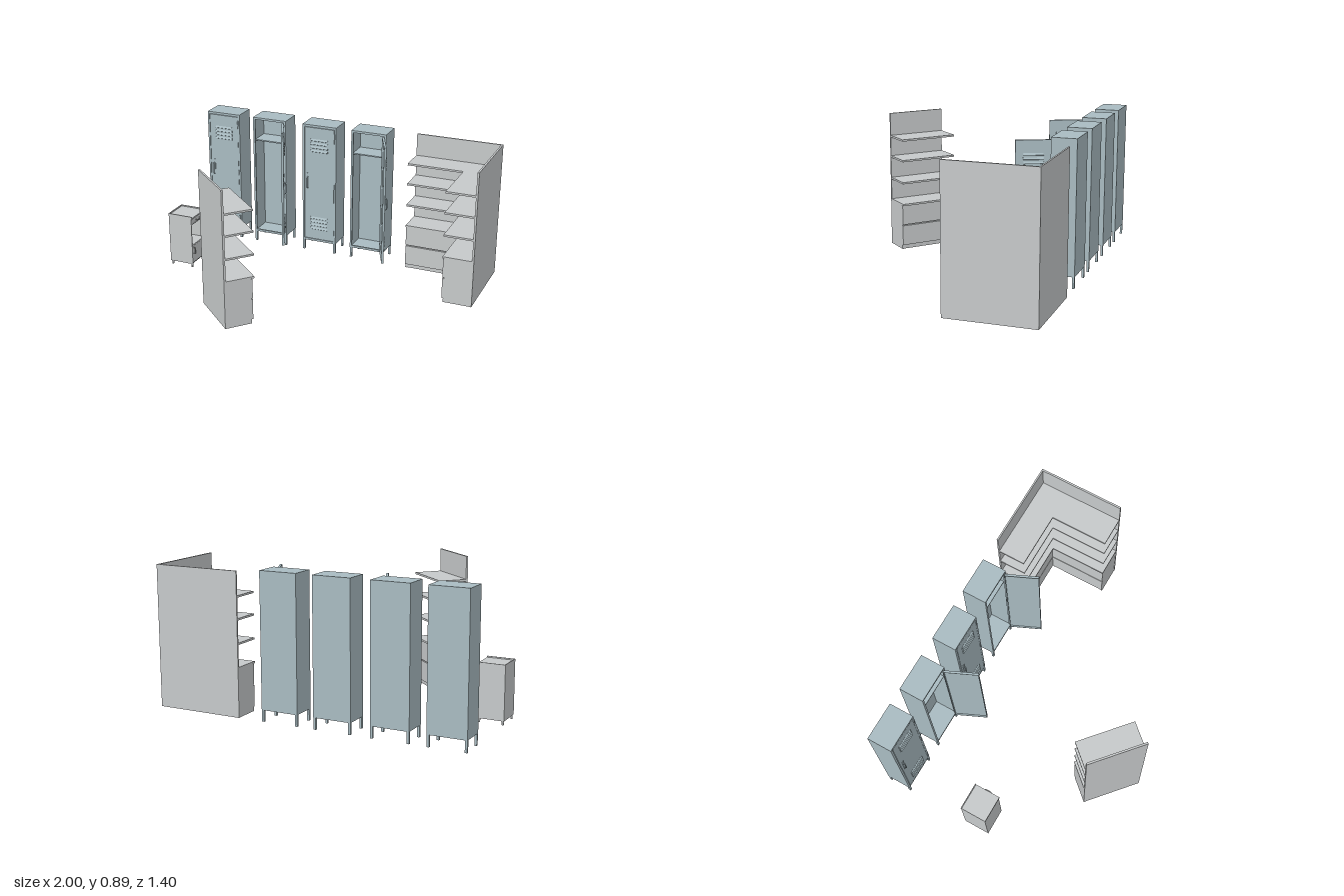
import * as THREE from 'three';

const blue = new THREE.MeshStandardMaterial({ color: 0xa9bbc1 });
blue.name = 'blueGreySteel';
const grey = new THREE.MeshStandardMaterial({ color: 0xc6c9ca });
grey.name = 'lightGrey';

function group(parent, name, x = 0, y = 0, z = 0, ry = 0) {
  const g = new THREE.Group();
  g.name = name;
  g.position.set(x, y, z);
  g.rotation.y = ry;
  parent.add(g);
  return g;
}

function add(parent, name, geometry, mat) {
  const m = new THREE.Mesh(geometry, mat);
  m.name = name;
  parent.add(m);
  return m;
}

// box given by its limits on each axis
function box(parent, name, mat, x0, x1, y0, y1, z0, z1) {
  const m = add(parent, name, new THREE.BoxGeometry(x1 - x0, y1 - y0, z1 - z0), mat);
  m.position.set((x0 + x1) / 2, (y0 + y1) / 2, (z0 + z1) / 2);
  return m;
}

// round bar handle through a few points
function handle(parent, mat, points, r = 0.003) {
  const path = new THREE.CatmullRomCurve3(points.map(p => new THREE.Vector3(...p)), false, 'catmullrom', 0.1);
  return add(parent, 'handle', new THREE.TubeGeometry(path, 16, r, 6), mat);
}

// door: hinge at the local origin, closed door runs towards -x, outside is +z
function lockerDoor(parent, angle) {
  const W = 0.208, y0 = 0.087, y1 = 0.873;
  const d = group(parent, 'door', 0.105, 0, 0.155, angle);
  box(d, 'doorPanel', blue, -W, 0, y0, y1, -0.004, 0);
  // folded rim on the inside
  box(d, 'doorRim', blue, -W, -W + 0.004, y0, y1, -0.014, -0.004);
  box(d, 'doorRim', blue, -0.004, 0, y0, y1, -0.014, -0.004);
  box(d, 'doorRim', blue, -W + 0.004, -0.004, y0, y0 + 0.004, -0.014, -0.004);
  box(d, 'doorRim', blue, -W + 0.004, -0.004, y1 - 0.004, y1, -0.014, -0.004);
  // two banks of louvres
  for (const base of [0.165, 0.715]) {
    for (let i = 0; i < 4; i++) {
      const y = base + i * 0.025;
      const l = box(d, 'louvre', blue, -0.164, -0.044, y - 0.007, y + 0.007, -0.002, 0.002);
      l.rotation.x = -0.6;
      l.position.z = 0.003;
      for (const x of [-0.164, -0.044])
        box(d, 'louvreEnd', blue, x - 0.002, x + 0.002, y - 0.007, y + 0.006, -0.002, 0.006);
    }
  }
  // latch plate and pull
  box(d, 'latchPlate', blue, -0.193, -0.177, 0.425, 0.555, 0, 0.003);
  handle(d, blue, [[-0.185, 0.45, 0.002], [-0.185, 0.455, 0.013], [-0.185, 0.52, 0.013], [-0.185, 0.53, 0.002]], 0.004);
  for (const y of [0.15, 0.48, 0.83]) {
    const h = add(d, 'hinge', new THREE.CylinderGeometry(0.004, 0.004, 0.035, 8), blue);
    h.position.set(0.003, y, 0.003);
  }
}

// locker: centred on x, back at z = 0, front at z = 0.155
function locker(parent, x, open) {
  const g = group(parent, 'locker', x, 0, -0.7);
  const w = 0.119, D = 0.155, t = 0.006;
  box(g, 'lockerBack', blue, -w, w, 0.07, 0.89, 0, t);
  box(g, 'lockerTop', blue, -w, w, 0.89 - t, 0.89, t, D);
  box(g, 'lockerFloor', blue, -w, w, 0.07, 0.07 + t, t, D);
  for (const s of [-1, 1]) {
    const side = s * (w - t / 2);
    box(g, 'lockerSide', blue, side - t / 2, side + t / 2, 0.07 + t, 0.89 - t, t, D);
    // front frame post
    const post = s * 0.1095;
    box(g, 'framePost', blue, post - 0.0035, post + 0.0035, 0.076, 0.884, D - 0.012, D);
    for (const z of [0.008, D - 0.008])
      box(g, 'leg', blue, s * 0.111 - 0.007, s * 0.111 + 0.007, 0, 0.07, z - 0.007, z + 0.007);
  }
  box(g, 'frameTop', blue, -0.106, 0.106, 0.876, 0.884, D - 0.012, D);
  box(g, 'frameBottom', blue, -0.106, 0.106, 0.076, 0.084, D - 0.012, D);
  box(g, 'lockerShelf', blue, -w + t, w - t, 0.723, 0.731, t, D - 0.018);
  lockerDoor(g, open ? THREE.MathUtils.degToRad(114) : 0);
}

const SHELVES = [0.305, 0.45, 0.595, 0.73], BOARD = 0.012, HEIGHT = 0.875;

// base cabinet with two drawers, open underneath, front towards +z
function baseCabinet(parent, x0, x1, z0, z1) {
  const g = group(parent, 'baseCabinet');
  const t = 0.012, f = z1 - 0.01;
  box(g, 'cabinetSide', grey, x0, x0 + t, 0, 0.293, z0, f);
  box(g, 'cabinetSide', grey, x1 - t, x1, 0, 0.293, z0, f);
  box(g, 'cabinetFloor', grey, x0 + t, x1 - t, 0.03, 0.042, z0, f);
  box(g, 'toeKick', grey, x0 + t, x1 - t, 0, 0.03, f - 0.012, f - 0.003);
  box(g, 'cabinetFront', grey, x0 + t, x1 - t, 0.042, 0.293, f - 0.01, f - 0.002);
  for (const [y0, y1] of [[0.028, 0.158], [0.165, 0.29]])
    box(g, 'drawerFront', grey, x0, x1, y0, y1, f, z1);
}

// straight free-standing shelf unit
function shelfUnit(parent) {
  const g = group(parent, 'shelfUnit', -0.388, 0, 0.573, 2.42);
  const h = 0.186, D = 0.19;
  box(g, 'backPanel', grey, -h, h, 0, HEIGHT, 0, BOARD);
  for (const y of SHELVES) box(g, 'shelf', grey, -h, h, y - BOARD, y, BOARD, D);
  baseCabinet(g, -h, h, BOARD, D - 0.012);
}

// L-shaped corner shelf unit
function cornerUnit(parent) {
  const g = group(parent, 'cornerShelfUnit');
  box(g, 'backPanel', grey, 0.44, 1, 0, HEIGHT, -0.7, -0.69);
  box(g, 'sidePanel', grey, 0.988, 1, 0, HEIGHT, -0.69, -0.148);
  // shelf outline drawn in x and -z
  const outline = [[0.44, 0.69], [0.44, 0.518], [0.803, 0.518], [0.803, 0.148], [0.988, 0.148], [0.988, 0.69]];
  const shape = new THREE.Shape(outline.map(p => new THREE.Vector2(...p)));
  const geo = new THREE.ExtrudeGeometry(shape, { depth: BOARD, bevelEnabled: false });
  geo.rotateX(-Math.PI / 2);
  for (const y of SHELVES) add(g, 'cornerShelf', geo, grey).position.y = y - BOARD;
  baseCabinet(g, 0.442, 0.812, -0.69, -0.526);
  // side wing faces -x
  const wing = group(g, 'sideWing', 0.988, 0, 0, -Math.PI / 2);
  baseCabinet(wing, -0.526, -0.15, 0, 0.18);
}

// bedside cabinet facing +x
function nightstand(parent) {
  const g = group(parent, 'bedsideCabinet', -1, 0, -0.055, Math.PI / 2);
  const w = 0.083, D = 0.165, t = 0.006;
  for (const s of [-1, 1]) {
    const x = s * (w - t / 2);
    box(g, 'sidePanel', grey, x - t / 2, x + t / 2, 0.025, 0.343, 0, D);
    const r = s * 0.0825;
    box(g, 'topRim', grey, r - 0.0025, r + 0.0025, 0.352, 0.36, 0, 0.172);
    for (const z of [0.01, D - 0.01]) {
      const leg = add(g, 'leg', new THREE.CylinderGeometry(0.007, 0.006, 0.025, 10), grey);
      leg.position.set(s * 0.073, 0.0125, z);
    }
  }
  box(g, 'top', grey, -0.085, 0.085, 0.343, 0.352, 0, 0.172);
  box(g, 'topRim', grey, -0.08, 0.08, 0.352, 0.36, 0, 0.005);
  box(g, 'backPanel', grey, -w + t, w - t, 0.025, 0.343, 0, t);
  box(g, 'floor', grey, -w + t, w - t, 0.025, 0.033, t, D - 0.006);
  box(g, 'nicheFloor', grey, -w + t, w - t, 0.152, 0.16, t, D);
  box(g, 'nicheCeiling', grey, -w + t, w - t, 0.3, 0.306, t, D);
  box(g, 'drawerFront', grey, -w + t, w - t, 0.307, 0.341, D - 0.01, D);
  box(g, 'door', grey, -w + t, w - t, 0.034, 0.151, D - 0.01, D);
  handle(g, grey, [[-0.022, 0.32, D], [-0.02, 0.32, 0.18], [0.02, 0.32, 0.18], [0.022, 0.32, D]]);
  handle(g, grey, [[-0.065, 0.098, D], [-0.065, 0.1, 0.178], [-0.065, 0.136, 0.178], [-0.065, 0.138, D]]);
}

export function createModel() {
  const model = new THREE.Group();
  model.name = 'storageFurniture';
  [-0.88, -0.54, -0.18, 0.163].forEach((x, i) => locker(model, x, i % 2 === 1));
  cornerUnit(model);
  shelfUnit(model);
  nightstand(model);
  return model;
}
